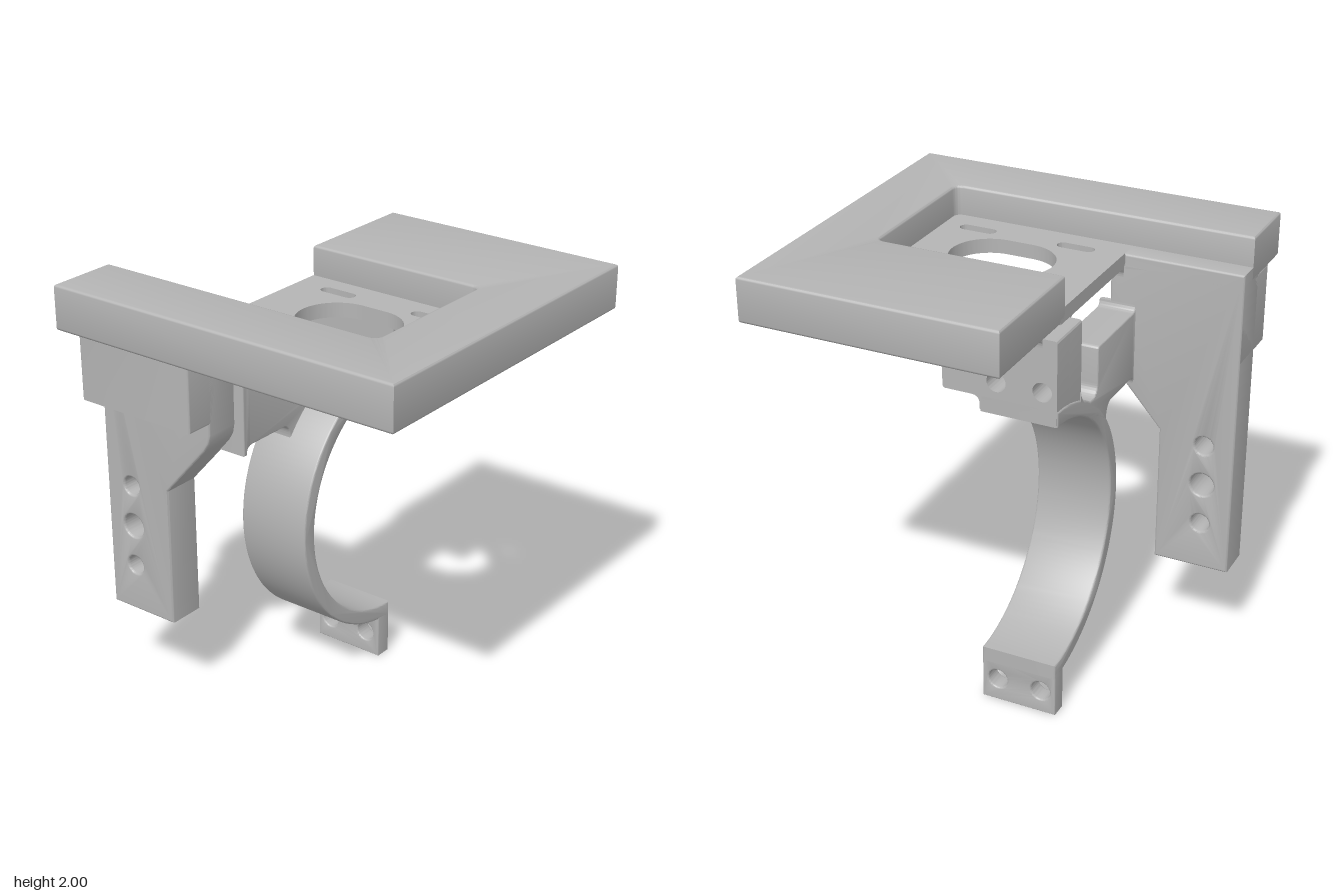
import * as THREE from 'three';
import { toCreasedNormals } from 'three/addons/utils/BufferGeometryUtils.js';

const grey = new THREE.MeshStandardMaterial({ color: 0xb4b4b4 });
grey.name = 'plain grey';

// Closed outline from [x, y] points
const outline = (pts) => new THREE.Shape(pts.map(([x, y]) => new THREE.Vector2(x, y)));

function drill(shape, holes) {
  for (const [x, y, r] of holes) shape.holes.push(new THREE.Path().absarc(x, y, r, 0, Math.PI * 2, true));
  return shape;
}

// Upright slot with round ends
function slot(cx, cy, w, h) {
  const r = w / 2, d = h / 2 - r;
  const p = new THREE.Path();
  p.absarc(cx, cy + d, r, 0, Math.PI, false);
  p.absarc(cx, cy - d, r, Math.PI, Math.PI * 2, false);
  p.closePath();
  return p;
}

// Extrusion from 0 to depth, with edges rounded inside the outline
function slab(shape, depth, bevel) {
  const g = new THREE.ExtrudeGeometry(shape, {
    depth: depth - 2 * bevel, curveSegments: 32, bevelEnabled: bevel > 0,
    bevelSize: bevel, bevelThickness: bevel, bevelOffset: -bevel, bevelSegments: 3,
  });
  g.translate(0, 0, bevel);
  return toCreasedNormals(g, 0.6);
}

export function createModel() {
  const model = new THREE.Group();
  const add = (name, geo) => {
    const m = new THREE.Mesh(geo, grey);
    m.name = name;
    model.add(m);
  };
  // Shape in (x, y), between two z values
  const alongZ = (name, s, z0, z1, b = 0) => add(name, slab(s, z1 - z0, b).translate(0, 0, z0));
  // Shape in (z, y), between two x values
  const alongX = (name, s, x0, x1, b = 0) => add(name, slab(s, x1 - x0, b).rotateY(-Math.PI / 2).translate(x1, 0, 0));
  // Shape in (x, -z), between two heights
  const alongY = (name, s, y0, y1, b = 0) => add(name, slab(s, y1 - y0, b).rotateX(-Math.PI / 2).translate(0, y0, 0));

  // Top plate with an open pocket
  const plate = outline([[-0.8, -0.85], [0.8, -0.85], [0.8, 0.31], [0.22, 0.31]]);
  plate.lineTo(0.22, -0.5);
  plate.quadraticCurveTo(0.22, -0.54, 0.18, -0.54);
  plate.lineTo(-0.44, -0.54);
  plate.quadraticCurveTo(-0.48, -0.54, -0.48, -0.5);
  plate.lineTo(-0.48, 0.85);
  plate.lineTo(-0.8, 0.85);
  alongY('topPlate', plate, 1.8, 2, 0.012);

  // Pocket floor with its opening and four slots
  const floor = outline([[-0.52, -0.58], [0.26, -0.58], [0.26, 0.31], [-0.52, 0.31]]);
  floor.holes.push(slot(-0.125, -0.14, 0.352, 0.47));
  for (const x of [-0.358, 0.112]) for (const y of [0.095, -0.372]) floor.holes.push(slot(x, y, 0.055, 0.173));
  alongY('pocketFloor', floor, 1.8, 1.865);

  // Drilled strut with a sloping front
  const strut = outline([[-0.85, 0.42], [-0.5, 0.42], [-0.5, 1.07], [-0.28, 1.32], [-0.258, 1.36],
    [-0.25, 1.4], [-0.25, 1.8], [-0.31, 1.81], [-0.31, 1.865], [-0.85, 1.865]]);
  drill(strut, [[-0.71, 1.035, 0.043], [-0.71, 0.84, 0.055], [-0.71, 0.645, 0.043]]);
  alongX('strut', strut, -0.56, -0.38, 0.01);

  // Block that thickens the head of the strut
  alongZ('strutBlock', outline([[-0.68, 1.45], [-0.38, 1.45], [-0.38, 1.81], [-0.68, 1.81]]), -0.85, -0.25, 0.01);

  // Half ring of the clamp
  const cx = 0.425, cy = 0.84, ro = 0.65, ri = 0.58;
  const ao = Math.acos(-0.02 / ro), ai = Math.acos(-0.02 / ri);
  const ring = new THREE.Shape();
  ring.absarc(cx, cy, ro, ao, Math.PI * 2 - ao, false);
  ring.absarc(cx, cy, ri, Math.PI * 2 - ai, ai, true);
  alongZ('clampRing', ring, -0.37, -0.02, 0.008);

  // Lower clamp tab
  const tab = outline([[-0.37, 0], [-0.02, 0], [-0.02, 0.23], [-0.37, 0.23]]);
  alongX('clampTab', drill(tab, [[-0.095, 0.11, 0.045], [-0.3, 0.11, 0.045]]), 0.32, 0.405, 0.008);

  // Upper clamp block: solid inside, blind holes in the outer part
  const blockOutline = () => {
    const s = outline([[-0.365, 1.43], [-0.02, 1.43], [-0.02, 1.45]]);
    s.quadraticCurveTo(-0.02, 1.49, 0.02, 1.49);
    s.lineTo(0.135, 1.49);
    s.quadraticCurveTo(0.15, 1.49, 0.15, 1.505);
    s.lineTo(0.15, 1.76);
    s.quadraticCurveTo(0.15, 1.8, 0.19, 1.8);
    s.lineTo(-0.35, 1.8);
    s.quadraticCurveTo(-0.365, 1.8, -0.365, 1.785);
    return s;
  };
  alongX('clampBlock', blockOutline(), 0.172, 0.29);
  alongX('clampBlockFace', drill(blockOutline(), [[-0.095, 1.565, 0.043], [-0.3, 1.565, 0.043]]), 0.29, 0.405);

  // Web joining the strut to the clamp
  const web = outline([[-0.4, 1.26], [-0.38, 1.26]]);
  web.quadraticCurveTo(-0.38, 1.3, -0.34, 1.3);
  web.lineTo(-0.13, 1.3);
  web.quadraticCurveTo(-0.09, 1.29, -0.09, 1.23);
  web.lineTo(0.0, 1.27);
  web.lineTo(0.18, 1.4);
  web.lineTo(0.18, 1.48);
  web.quadraticCurveTo(0.16, 1.42, 0.1, 1.39);
  web.lineTo(0.05, 1.39);
  web.quadraticCurveTo(0.01, 1.4, 0.01, 1.44);
  web.lineTo(0.01, 1.595);
  web.quadraticCurveTo(0.01, 1.61, -0.005, 1.61);
  web.lineTo(-0.35, 1.61);
  web.quadraticCurveTo(-0.38, 1.61, -0.38, 1.64);
  web.lineTo(-0.4, 1.64);
  alongZ('web', web, -0.37, -0.2, 0.006);

  // Fillets under the plate
  const fillet = (x, dir, z0, z1) => {
    const r = 0.04, s = new THREE.Shape();
    s.moveTo(x - dir * 0.01, 1.8);
    s.lineTo(x - dir * 0.01, 1.8 - r);
    s.lineTo(x, 1.8 - r);
    s.quadraticCurveTo(x, 1.8, x + dir * r, 1.8);
    alongZ('fillet', s, z0, z1);
  };
  fillet(-0.68, -1, -0.84, -0.25);
  fillet(-0.38, 1, -0.31, -0.25);
  fillet(0.172, -1, -0.31, 0.15);
  fillet(0.405, 1, -0.3, 0.15);

  return model;
}
